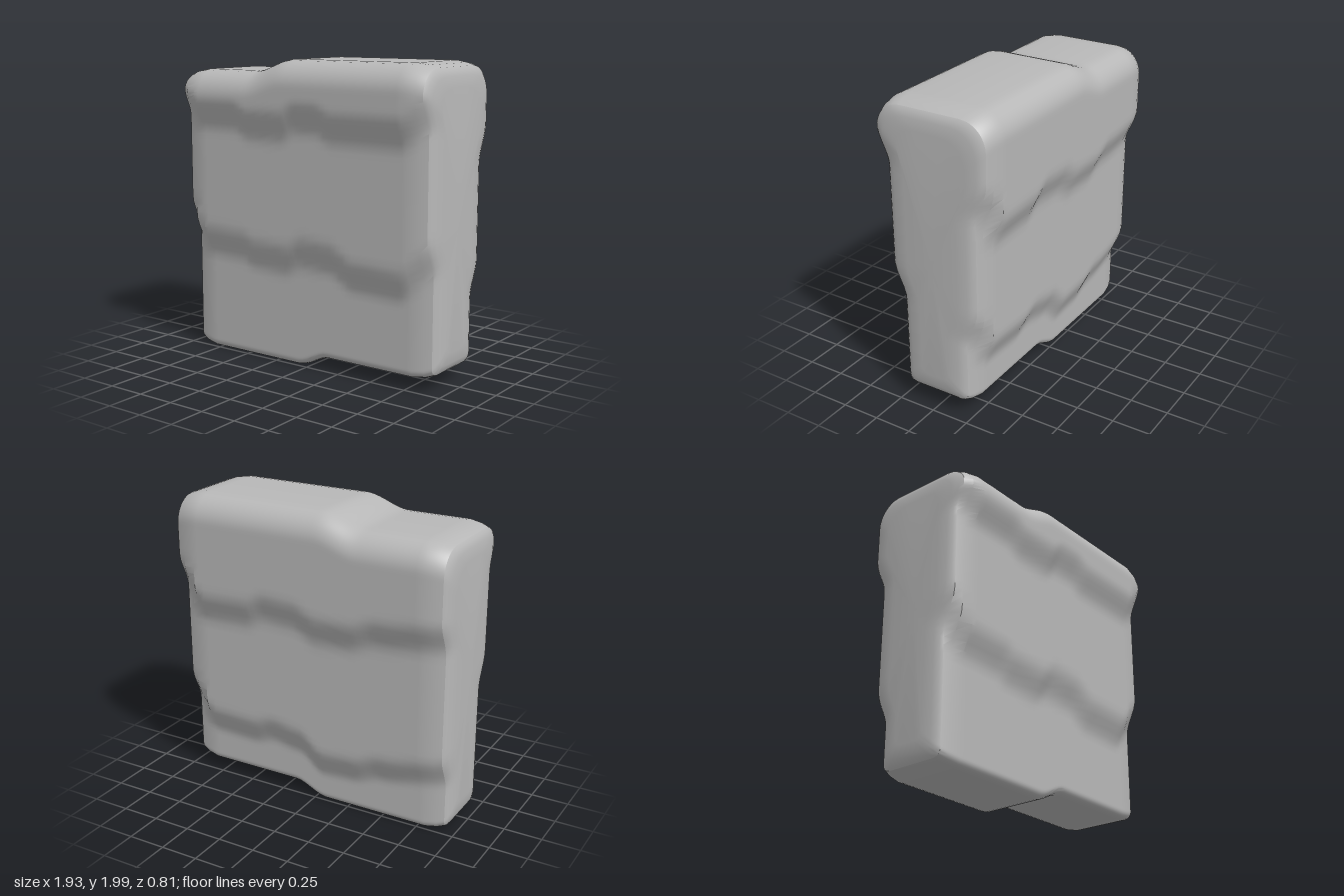
import * as THREE from 'three';
import { toCreasedNormals } from 'three/addons/utils/BufferGeometryUtils.js';

const smooth = THREE.MathUtils.smoothstep;

// Wavy ledge lines as [x, y] points; the slab thickens above each one.
const frontLedges = [
  [[-.95, 1.0], [-.88, .86], [-.8, .8], [-.5, .79], [-.4, .75], [-.15, .74], [0, .8], [.2, .79], [.4, .7], [.72, .69], [.95, .87]],
  [[-.95, 1.76], [-.8, 1.66], [-.5, 1.66], [-.38, 1.61], [-.12, 1.61], [0, 1.67], [.15, 1.67], [.28, 1.62], [.78, 1.62], [.95, 1.74]],
];
const backLedges = [
  [[-.95, .47], [-.5, .4], [-.3, .34], [-.08, .33], [.1, .45], [.3, .48], [.45, .44], [.75, .45], [.95, .68]],
  [[-.95, 1.38], [-.5, 1.34], [-.3, 1.28], [-.08, 1.28], [.1, 1.35], [.3, 1.36], [.45, 1.3], [.75, 1.29], [.95, 1.52]],
];

// Eased height of a ledge line at x.
function lineAt(points, x) {
  if (x <= points[0][0]) return points[0][1];
  for (let i = 1; i < points.length; i++) {
    const [x0, y0] = points[i - 1], [x1, y1] = points[i];
    if (x <= x1) return y0 + (y1 - y0) * smooth(x, x0, x1);
  }
  return points[points.length - 1][1];
}

// Half thickness: a base plus one step per ledge.
function depthAt(ledges, x, y) {
  return ledges.reduce((z, line) => {
    const c = lineAt(line, x);
    return z + .077 * smooth(y, c - .15, c + .09);
  }, .25);
}

// Amount taken off near a rounded edge of radius r at distance d.
const roundOff = (d, r) => (d < r ? r - Math.sqrt(Math.max(0, r * r - (r - d) ** 2)) : 0);

// Closed cross-section at x, going up the front and down the back.
function section(x, inset) {
  const top = 1.92 + .08 * smooth(x, -.38, -.08) - inset;
  const bottom = .01 + .08 * smooth(x, -.08, .16) + inset;
  const ROWS = 64, front = [], back = [];
  for (let i = 0; i <= ROWS; i++) {
    const t = i / ROWS;
    // rows crowd towards both ends
    const e = t - .12 * Math.sin(2 * Math.PI * t);
    const y = bottom + e * (top - bottom);
    const cut = inset + roundOff(top - y, .17) + roundOff(y - bottom, .05);
    front.push([y, depthAt(frontLedges, x, y) - cut]);
    back.push([y, -depthAt(backLedges, x, y) + cut]);
  }
  const ring = [...front, ...back.reverse()];
  return ring.map(([y, z]) => [x, y, z]);
}

function slabGeometry() {
  // Stations along x with the inset of the rounded ends.
  const end = [[.965, .15], [.958, .08], [.945, .045], [.93, .028], [.88, .012], [.8, 0]];
  const stations = end.map(([x, s]) => [-x, s]);
  for (let i = 1; i < 48; i++) stations.push([-.8 + 1.6 * i / 48, 0]);
  stations.push(...end.slice().reverse());

  const rings = stations.map(([x, s]) => section(x, s));
  const n = rings[0].length;
  const positions = rings.flat(2), index = [];
  for (let s = 0; s < rings.length - 1; s++) {
    for (let i = 0; i < n; i++) {
      const j = (i + 1) % n, a = s * n, b = a + n;
      index.push(a + i, b + i, b + j, a + i, b + j, a + j);
    }
  }
  // Flat end faces.
  const last = (rings.length - 1) * n, c = rings.length * n;
  positions.push(-.965, 1, 0, .965, 1, 0);
  for (let i = 0; i < n; i++) {
    const j = (i + 1) % n;
    index.push(c, i, j, c + 1, last + j, last + i);
  }
  const geometry = new THREE.BufferGeometry();
  geometry.setAttribute('position', new THREE.Float32BufferAttribute(positions, 3));
  geometry.setIndex(index);
  return toCreasedNormals(geometry, .45);
}

export function createModel() {
  const group = new THREE.Group();
  group.name = 'layeredSlab';
  const stone = new THREE.MeshStandardMaterial({ color: 0xb8b8b8 });
  stone.name = 'stone grey';
  const slab = new THREE.Mesh(slabGeometry(), stone);
  slab.name = 'steppedBlock';
  group.add(slab);
  return group;
}
